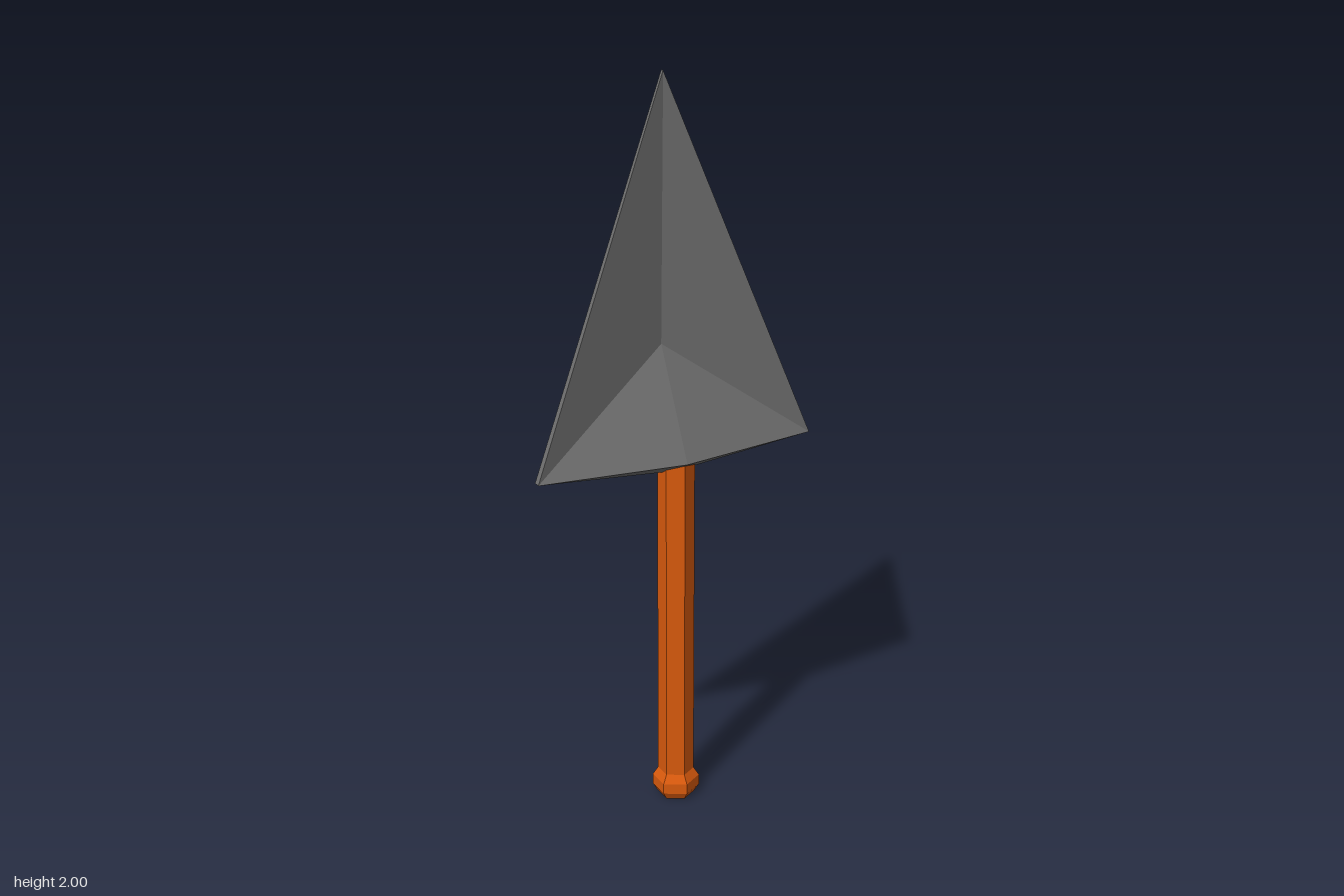
import * as THREE from 'three';

const steel = new THREE.MeshStandardMaterial({ color: 0x6e6e6e, flatShading: true });
const wood = new THREE.MeshStandardMaterial({ color: 0xd95a0d, flatShading: true });

// Thin faceted spear blade: one half is listed, the other is mirrored
function bladeGeometry() {
  const p = {
    tipF: [0, 2, -0.05], tipB: [0, 2, -0.06],
    cornerF: [0.4, 1.005, 0.03], cornerB: [0.4, 1.005, 0.01],
    midF: [0, 1.29, -0.063], midB: [0, 1.3, -0.08],
    baseF: [0, 1.003, 0.08], baseB: [0, 1.003, -0.053],
    keel: [0, 0.965, 0.02],
  };
  const faces = [
    ['midF', 'cornerF', 'tipF'], ['baseF', 'cornerF', 'midF'],       // front
    ['cornerF', 'cornerB', 'tipB'], ['cornerF', 'tipB', 'tipF'],     // edge
    ['midB', 'tipB', 'cornerB'], ['midB', 'cornerB', 'baseB'],       // back
    ['keel', 'cornerF', 'baseF'], ['keel', 'cornerB', 'cornerF'],    // underside
    ['keel', 'baseB', 'cornerB'],
  ];
  const positions = [];
  for (const side of [1, -1]) {
    for (const face of faces) {
      const order = side > 0 ? face : [...face].reverse();
      for (const name of order) {
        const [x, y, z] = p[name];
        positions.push(side * x, y, z);
      }
    }
  }
  const geometry = new THREE.BufferGeometry();
  geometry.setAttribute('position', new THREE.Float32BufferAttribute(positions, 3));
  geometry.computeVertexNormals();
  return geometry;
}

// Six-sided turned part from [radius, height] pairs, bottom to top
function hexPart(name, profile) {
  const points = profile.map(([r, y]) => new THREE.Vector2(r, y));
  const mesh = new THREE.Mesh(new THREE.LatheGeometry(points, 6), wood);
  mesh.name = name;
  mesh.position.z = 0.018;
  return mesh;
}

export function createModel() {
  const group = new THREE.Group();
  group.name = 'spear';

  const blade = new THREE.Mesh(bladeGeometry(), steel);
  blade.name = 'blade';

  const shaft = hexPart('shaft', [[0.049, 0.07], [0.049, 1], [0, 1]]);
  const pommel = hexPart('pommel', [[0, 0], [0.05, 0], [0.064, 0.022], [0.064, 0.052], [0.049, 0.075]]);

  group.add(blade, shaft, pommel);
  return group;
}
